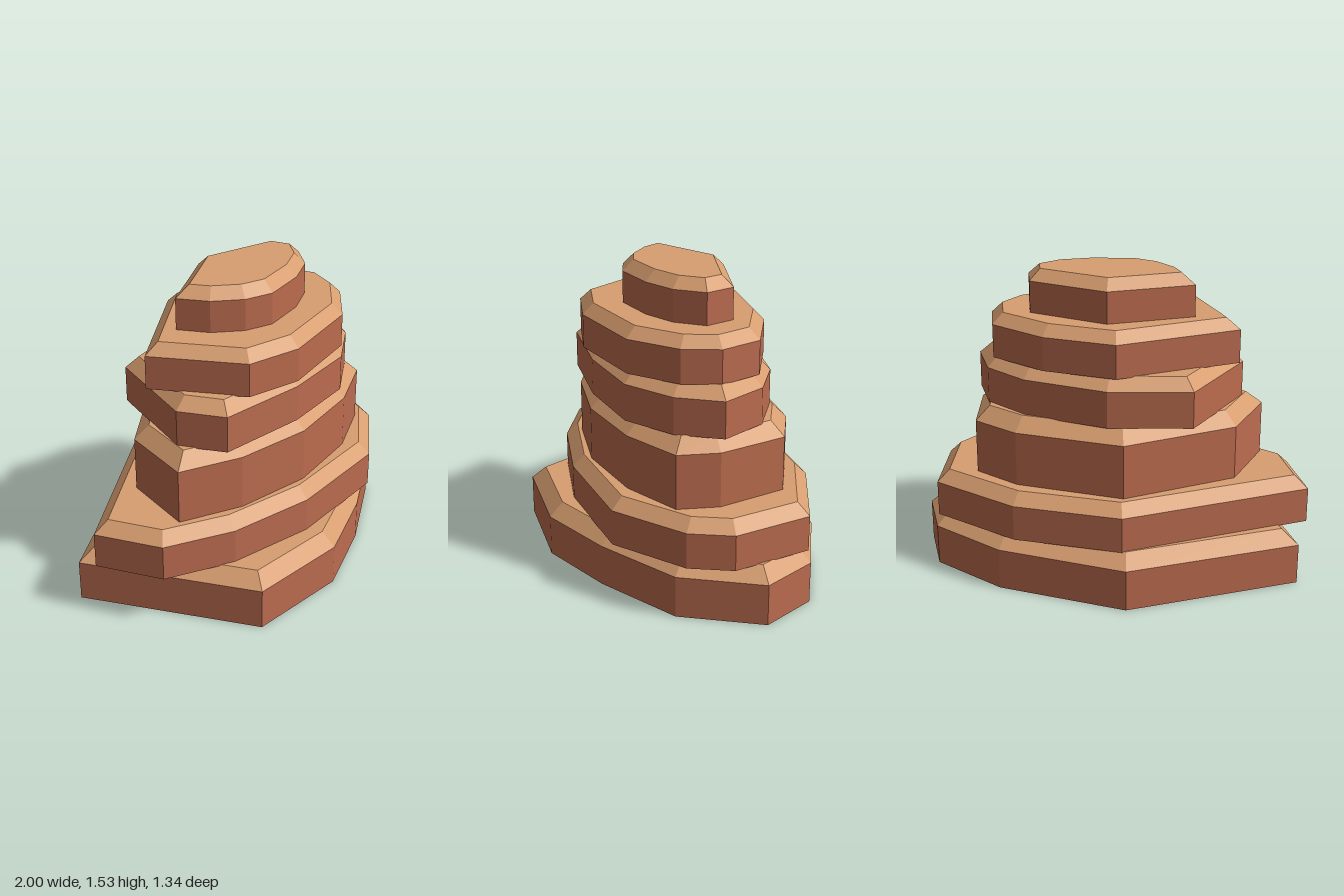
import * as THREE from 'three';

// Each stone slab: base height, top of wall, top of bevel, then its outline as [x, z]
// points running left, back, right, front.
const slabs = [
  { y: [0, 0.21, 0.28], outline: [[-0.97, -0.25], [-0.16, -0.67], [0.5, -0.55], [0.88, -0.34], [1, -0.055],
    [0.76, 0.315], [0.33, 0.53], [-0.08, 0.665], [-0.6, 0.605]] },
  { y: [0.275, 0.455, 0.515], outline: [[-1, -0.1], [-0.13, -0.6], [0.42, -0.55], [0.87, -0.33], [0.92, 0.08],
    [0.81, 0.28], [0.45, 0.515], [-0.12, 0.52], [-0.56, 0.41], [-0.88, 0.23]] },
  { y: [0.51, 0.79, 0.86], outline: [[-0.735, 0.21], [-0.63, -0.16], [-0.12, -0.5], [0.43, -0.42], [0.665, -0.29],
    [0.725, 0.07], [0.67, 0.275], [0.36, 0.4], [-0.05, 0.44], [-0.44, 0.36]] },
  { y: [0.855, 1.04, 1.1], outline: [[-0.635, 0.12], [-0.44, -0.38], [-0.03, -0.445], [0.4, -0.34], [0.62, -0.19],
    [0.725, 0.05], [0.58, 0.25], [0.325, 0.395], [-0.08, 0.415], [-0.535, 0.345]] },
  { y: [1.095, 1.265, 1.32], outline: [[-0.63, -0.07], [-0.07, -0.415], [0.3, -0.35], [0.59, -0.185], [0.65, 0.035],
    [0.57, 0.21], [0.335, 0.385], [-0.12, 0.445], [-0.395, 0.365]] },
  { y: [1.315, 1.48, 1.535], outline: [[-0.405, -0.07], [0, -0.265], [0.41, -0.13], [0.45, 0.025], [0.335, 0.15],
    [0.165, 0.22], [-0.07, 0.25], [-0.21, 0.195], [-0.33, 0.08]] },
];

// Moves every edge of an outline inward by the same distance
function inset(pts, d) {
  const n = pts.length;
  const normal = (a, b) => {
    const dx = b[0] - a[0], dz = b[1] - a[1], l = Math.hypot(dx, dz);
    return [-dz / l, dx / l];
  };
  return pts.map((p, i) => {
    const a = normal(pts[(i + n - 1) % n], p), b = normal(p, pts[(i + 1) % n]);
    const k = d / (1 + a[0] * b[0] + a[1] * b[1]);
    return [p[0] + (a[0] + b[0]) * k, p[1] + (a[1] + b[1]) * k];
  });
}

const ring = (pts, y) => pts.map(([x, z]) => [x, y, z]);

// Band of faces between two rings
function band(lower, upper) {
  return lower.flatMap((p, i) => {
    const j = (i + 1) % lower.length;
    return [lower[j], p, upper[i], lower[j], upper[i], upper[j]];
  });
}

// Flat lid across a ring, facing up or down
function lid(loop, up) {
  const c = [0, 1, 2].map((k) => loop.reduce((s, p) => s + p[k], 0) / loop.length);
  return loop.flatMap((p, i) => {
    const q = loop[(i + 1) % loop.length];
    return up ? [c, q, p] : [c, p, q];
  });
}

function facetMesh(name, corners, material) {
  const g = new THREE.BufferGeometry();
  g.setAttribute('position', new THREE.Float32BufferAttribute(corners.flat(), 3));
  g.computeVertexNormals();
  const mesh = new THREE.Mesh(g, material);
  mesh.name = name;
  return mesh;
}

export function createModel() {
  const rock = new THREE.MeshStandardMaterial({ color: 0xbc6c4f });
  rock.name = 'terracotta rock';
  const sand = new THREE.MeshStandardMaterial({ color: 0xd89e70 });
  sand.name = 'sandy ledge';

  const model = new THREE.Group();
  model.name = 'layeredRock';
  slabs.forEach(({ y, outline }, i) => {
    const slab = new THREE.Group();
    slab.name = `rockLayer${i + 1}`;
    const base = ring(outline, y[0]);
    const rim = ring(outline, y[1]);
    const top = ring(inset(outline, y[2] - y[1]), y[2]);
    // Upright cliff wall with its underside
    slab.add(facetMesh('cliffWall', [...band(base, rim), ...lid(base, false)], rock));
    // Bevelled ledge with its flat top
    slab.add(facetMesh('ledge', [...band(rim, top), ...lid(top, true)], sand));
    model.add(slab);
  });
  return model;
}
